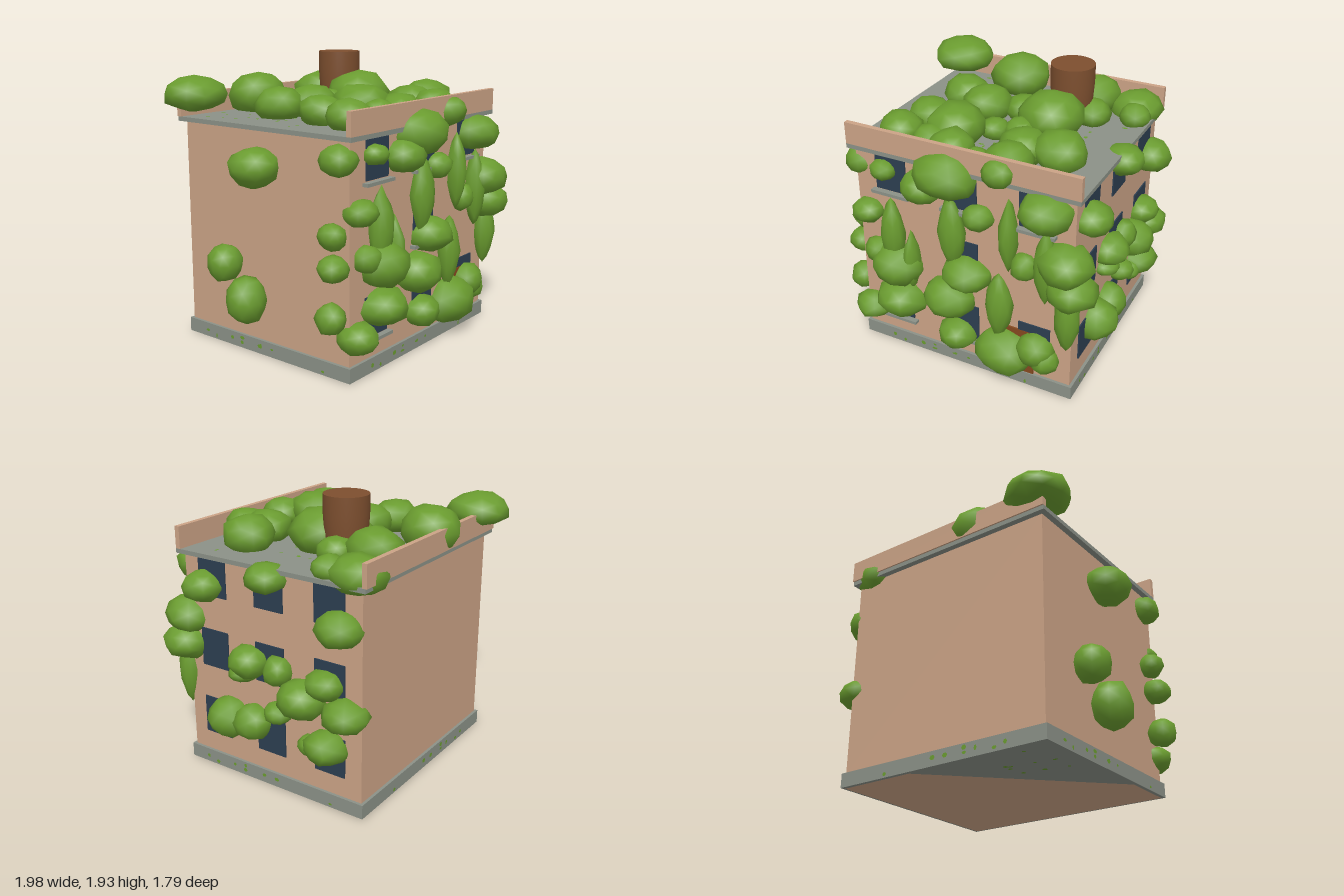
import * as THREE from 'three';
import { mergeVertices } from 'three/addons/utils/BufferGeometryUtils.js';

const mat = (name, color, extra = {}) => {
  const m = new THREE.MeshStandardMaterial({ color, ...extra });
  m.name = name;
  return m;
};

export function createModel() {
  const root = new THREE.Group();
  root.name = 'overgrownBuilding';
  const wall = mat('clay wall', 0xcba386);
  const stone = mat('grey stone', 0x8b9187);
  const glass = mat('dark blue glass', 0x2c3e50);
  const leaf = mat('leaf green', 0x6a9c2f);
  const rust = mat('rusty brown', 0x7d4f2f);
  const wood = mat('door brown', 0x85481f);

  // Small seeded random numbers
  let seed = 7;
  const rnd = () => (seed = (seed * 16807) % 2147483647) / 2147483647;

  const add = (name, geo, material, x = 0, y = 0, z = 0, parent = root) => {
    const m = new THREE.Mesh(geo, material);
    m.name = name;
    m.position.set(x, y, z);
    parent.add(m);
    return m;
  };
  // Box given by its lower and upper limits
  const box = (name, material, x0, x1, y0, y1, z0, z1) =>
    add(name, new THREE.BoxGeometry(x1 - x0, y1 - y0, z1 - z0), material,
      (x0 + x1) / 2, (y0 + y1) / 2, (z0 + z1) / 2);

  // Building shell
  box('walls', wall, -0.76, 0.8, 0.1, 1.5, -0.71, 0.68);
  box('plinth', stone, -0.78, 0.82, 0.003, 0.1, -0.73, 0.7);
  box('roofSlab', stone, -0.8, 0.84, 1.5, 1.53, -0.75, 0.72);
  box('frontParapet', wall, -0.8, 0.84, 1.53, 1.68, 0.685, 0.72);
  box('backParapet', wall, -0.8, 0.84, 1.53, 1.68, -0.76, -0.725);

  // Exposed underside of the walls
  const under = new THREE.Shape([[0.8, 0.68], [0.8, -0.71], [0.25, -0.71], [-0.76, 0.3], [-0.76, 0.68]]
    .map(([x, z]) => new THREE.Vector2(x, z)));
  const underGeo = new THREE.ShapeGeometry(under);
  underGeo.rotateX(Math.PI / 2);
  add('underside', underGeo, wall);

  // Windows, with sills on the front only
  const rows = [0.24, 0.74, 1.24];
  rows.forEach((y, r) => {
    [-0.495, 0.02, 0.54].forEach((x, c) => {
      if (r === 1 && c !== 1) return;
      box('frontWindow', glass, x - 0.113, x + 0.113, y, y + 0.265, 0.68, 0.689);
      box('windowSill', stone, x - 0.14, x + 0.14, y - 0.03, y - 0.008, 0.68, 0.72);
    });
    for (const z of [0.45, -0.01, -0.475])
      box('sideWindow', glass, 0.8, 0.809, y, y + 0.265, z - 0.113, z + 0.113);
  });
  box('door', wood, 0.29, 0.54, 0.1, 0.44, 0.68, 0.692);

  // Rooftop water tank
  const tank = [[0, 1.53], [0.125, 1.53], [0.14, 1.68], [0.148, 1.8], [0.148, 1.93]].map(([r, y]) => new THREE.Vector2(r, y));
  add('waterTank', new THREE.LatheGeometry(tank, 32), rust, 0.34, 0, -0.28);
  const lid = new THREE.CircleGeometry(0.148, 32);
  lid.rotateX(-Math.PI / 2);
  add('tankLid', lid, rust, 0.34, 1.93, -0.28);

  // Foliage: a slightly uneven low-poly ball, tapered to points for vines
  const foliage = new THREE.Group();
  foliage.name = 'foliage';
  root.add(foliage);
  const blob = (name, x, y, z, rx, ry, rz, vine = false) => {
    let g = new THREE.IcosahedronGeometry(1, 1);
    g.deleteAttribute('normal');
    g.deleteAttribute('uv');
    g = mergeVertices(g, 1e-3);
    g.rotateY(rnd() * 6);
    const p = g.attributes.position;
    for (let i = 0; i < p.count; i++) {
      const k = 0.94 + rnd() * 0.14;
      const h = p.getY(i);
      const t = vine ? k * (1 - 0.5 * h * h) : k;
      p.setXYZ(i, p.getX(i) * t * rx, h * k * ry, p.getZ(i) * t * rz);
    }
    g.computeVertexNormals();
    add(name, g, leaf, x, y, z, foliage);
  };

  // Front bushes: x, y, half width, half height
  [[-0.07, 1.47, 0.22, 0.155], [-0.25, 1.35, 0.145, 0.11], [-0.54, 1.395, 0.09, 0.065],
    [0.615, 1.395, 0.175, 0.125], [0.295, 1.575, 0.11, 0.1], [0.15, 1.225, 0.105, 0.09],
    [-0.68, 1.06, 0.11, 0.085], [0.75, 1.06, 0.18, 0.135], [0.8, 0.88, 0.165, 0.12],
    [0.47, 0.955, 0.09, 0.1], [-0.62, 0.765, 0.1, 0.09], [-0.465, 0.7, 0.185, 0.15],
    [0.06, 0.785, 0.17, 0.12], [-0.075, 0.55, 0.18, 0.14], [-0.46, 0.42, 0.185, 0.125],
    [-0.7, 0.28, 0.135, 0.1], [-0.02, 0.265, 0.14, 0.105], [0.34, 0.24, 0.21, 0.165],
    [0.56, 0.34, 0.13, 0.12], [0.625, 0.27, 0.1, 0.1],
  ].forEach(([x, y, w, h]) => blob('frontBush', x, y, 0.7, w, h, Math.min(w, 0.18)));

  // Hanging vines on the front
  [[-0.49, 0.93, 0.09, 0.26], [-0.04, 1.07, 0.1, 0.26], [0.37, 1.16, 0.06, 0.26],
    [0.625, 1, 0.08, 0.265], [-0.35, 0.76, 0.055, 0.22], [0.3, 0.61, 0.095, 0.255],
    [0.78, 0.66, 0.085, 0.25],
  ].forEach(([x, y, w, h]) => blob('vine', x, y, 0.715, w, h, 0.08, true));

  // Bushes on the right-hand (+x) wall: z, y, half width, half height
  [[0.51, 1.31, 0.14, 0.105], [-0.02, 1.46, 0.14, 0.095], [-0.565, 1.24, 0.15, 0.115],
    [0.145, 0.87, 0.14, 0.11], [0.2, 0.775, 0.095, 0.06], [-0.09, 0.855, 0.1, 0.105],
    [-0.285, 0.72, 0.17, 0.13], [-0.455, 0.855, 0.13, 0.095], [-0.605, 0.69, 0.15, 0.11],
    [-0.09, 0.565, 0.1, 0.075], [0.33, 0.42, 0.155, 0.14], [0.125, 0.445, 0.135, 0.12],
    [-0.465, 0.435, 0.15, 0.115], [-0.33, 0.405, 0.075, 0.07],
  ].forEach(([z, y, w, h]) => blob('sideBush', 0.825, y, z, w, h, w));

  // Bushes on the -x wall: x, y, z, radius, half height
  [[-0.82, 1.27, -0.03, 0.17, 0.13], [-0.76, 1.38, 0.6, 0.12, 0.1], [-0.8, 0.92, 0.58, 0.09, 0.085],
    [-0.82, 0.73, 0.6, 0.1, 0.085], [-0.84, 0.6, -0.3, 0.12, 0.13], [-0.85, 0.39, -0.1, 0.14, 0.16],
    [-0.84, 0.42, 0.6, 0.1, 0.1],
  ].forEach(([x, y, z, r, h]) => blob('farSideBush', x, y, z, r, h, r));

  // Roof bushes: x, z, radius
  [[-0.19, -0.59, 0.21], [0.4, -0.53, 0.185], [0.48, -0.3, 0.13], [0.29, -0.06, 0.22],
    [0.05, -0.16, 0.13], [-0.2, -0.09, 0.17], [-0.41, -0.19, 0.165], [-0.46, 0.22, 0.15],
    [-0.21, 0.34, 0.195], [-0.52, 0.49, 0.15], [-0.27, 0.53, 0.13], [0, 0.18, 0.1],
    [0.16, 0.13, 0.11], [0.3, 0.38, 0.16], [0.54, 0.35, 0.175], [0.3, 0.57, 0.15],
    [0.07, 0.57, 0.08], [-0.1, 0.57, 0.15],
  ].forEach(([x, z, r]) => blob('roofBush', x, 1.53 + r * 0.5, z, r, r * 0.75, r));
  blob('cornerBush', -0.71, 1.68, -0.68, 0.22, 0.12, 0.22);
  blob('cornerBush', 0.69, 1.55, -0.6, 0.18, 0.13, 0.18);
  blob('cornerBush', 0.74, 1.57, -0.43, 0.11, 0.09, 0.11);

  // Moss flecks on the roof, plinth sides and underside
  const fleck = (x, y, z, rx, ry) => {
    const g = new THREE.CircleGeometry(1, 6);
    g.scale(0.008 + rnd() * 0.014, 0.008 + rnd() * 0.01, 1);
    const m = add('mossFleck', g, leaf, x, y, z, foliage);
    m.rotation.set(rx, ry, 0);
  };
  const q = Math.PI / 2;
  for (let i = 0; i < 80; i++) fleck(-0.72 + rnd() * 1.48, 1.533, -0.65 + rnd() * 1.25, -q, 0);
  for (let i = 0; i < 9; i++) {
    const s = rnd() * 1.3 - 0.65;
    const y = 0.025 + rnd() * 0.05;
    fleck(s, y, 0.702, 0, 0);
    fleck(s * 0.9, y, -0.732, 0, 2 * q);
    fleck(0.822, y, -s, 0, q);
    fleck(-0.782, y, s, 0, -q);
    fleck(-0.7 + rnd() * 0.4, 0.001, -0.65 + rnd() * 0.4, q, 0);
  }
  return root;
}
